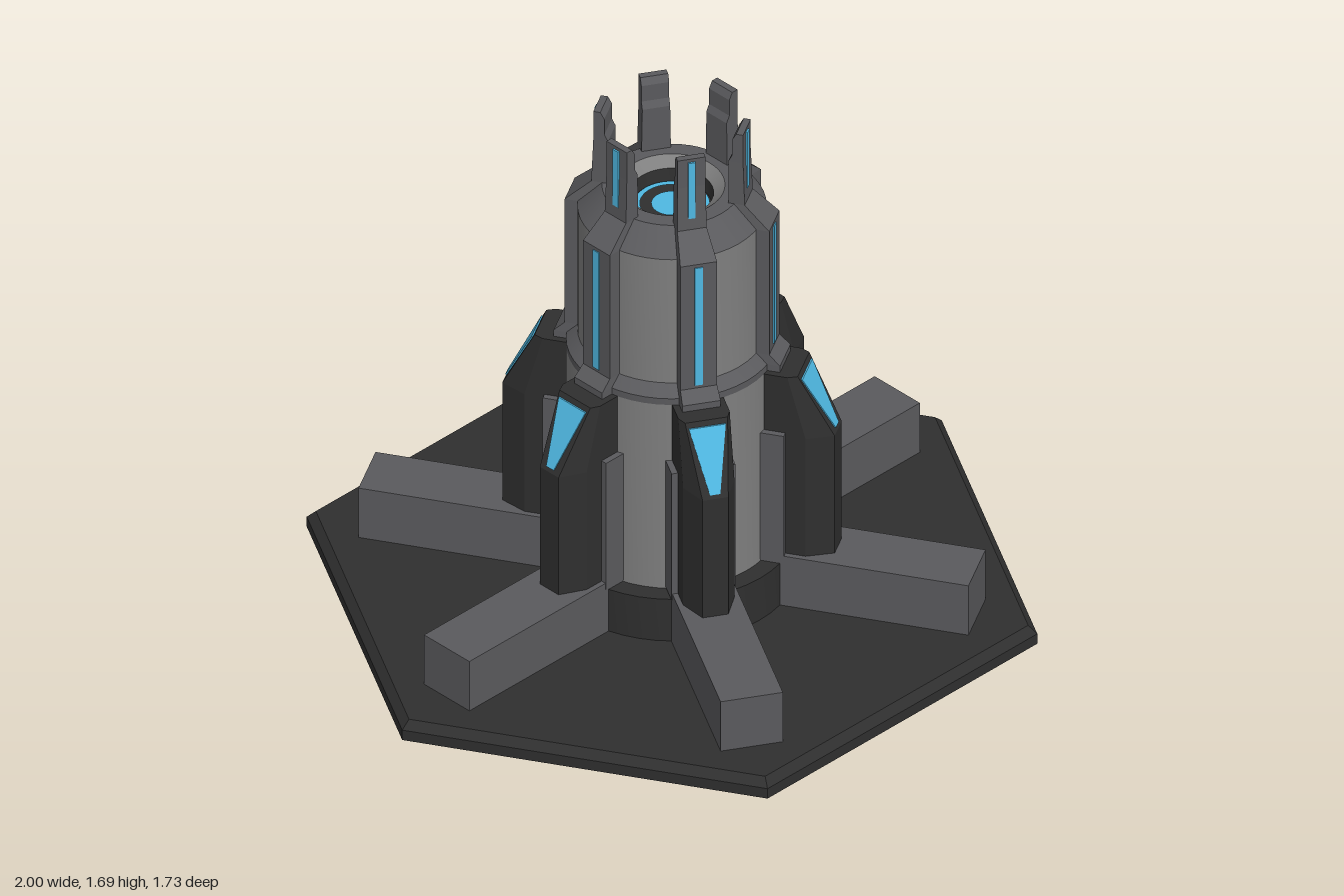
import * as THREE from 'three';
import { toCreasedNormals } from 'three/addons/utils/BufferGeometryUtils.js';

const material = (name, color) => {
  const m = new THREE.MeshStandardMaterial({ color, side: THREE.DoubleSide });
  m.name = name;
  return m;
};

// Faceted solid from stacked rings of [x, z] corners: levels = [[y, corners], ...]
function loft(levels) {
  const pos = [];
  const tri = (...pts) => pts.forEach((p) => pos.push(...p));
  const rings = levels.map(([y, pts]) => pts.map(([x, z]) => [x, y, z]));
  const n = rings[0].length;
  for (let k = 0; k < rings.length - 1; k++) {
    for (let i = 0; i < n; i++) {
      const j = (i + 1) % n;
      const a = rings[k][i], b = rings[k][j], c = rings[k + 1][j], d = rings[k + 1][i];
      tri(a, d, c);
      tri(a, c, b);
    }
  }
  const low = rings[0], top = rings[rings.length - 1];
  for (let i = 1; i < n - 1; i++) {
    tri(low[0], low[i], low[i + 1]);
    tri(top[0], top[i + 1], top[i]);
  }
  const g = new THREE.BufferGeometry();
  g.setAttribute('position', new THREE.Float32BufferAttribute(pos, 3));
  g.computeVertexNormals();
  return g;
}

const rect = (ri, ro, h) => [[ri, -h], [ro, -h], [ro, h], [ri, h]];
const finRing = (ri, rc, ro, h) =>
  [[ri, -0.07], [rc, -0.07], [ro, -h], [ro, h], [rc, 0.07], [ri, 0.07]];
const hexRing = (r) => Array.from({ length: 6 }, (_, i) =>
  [r * Math.cos(i * Math.PI / 3), r * Math.sin(i * Math.PI / 3)]);

function lathe(points) {
  const g = new THREE.LatheGeometry(points.map(([r, y]) => new THREE.Vector2(r, y)), 48);
  return toCreasedNormals(g, 0.4);
}

export function createModel() {
  const model = new THREE.Group();
  model.name = 'tower';
  const charcoal = material('charcoal', 0x2f2f2f);
  const darkGrey = material('dark grey', 0x5a5a5d);
  const midGrey = material('mid grey', 0x7f7f7f);
  const cyan = material('glow cyan', 0x4fb8e2);

  const add = (parent, name, geometry, mat) => {
    const mesh = new THREE.Mesh(geometry, mat);
    mesh.name = name;
    parent.add(mesh);
    return mesh;
  };

  // Hexagonal base plate with bevelled upper edge
  add(model, 'basePlate', loft([
    [0.165, hexRing(1)], [0.197, hexRing(1)], [0.22, hexRing(0.975)],
  ]), charcoal);

  // Round core
  add(model, 'collar', lathe([[0.33, 0.2], [0.33, 0.355], [0.27, 0.355]]), charcoal);
  add(model, 'lowerBody', lathe([[0.28, 0.3], [0.28, 0.95]]), midGrey);
  add(model, 'waistRing', lathe([[0.28, 0.95], [0.28, 0.97], [0.25, 1.0]]), darkGrey);
  add(model, 'upperBody', lathe([[0.25, 1.0], [0.25, 1.4]]), midGrey);
  add(model, 'shoulder', lathe([[0.25, 1.4], [0.185, 1.465], [0.14, 1.465]]), darkGrey);
  add(model, 'muzzleRim', lathe([[0.14, 1.465], [0.11, 1.44]]), midGrey);
  add(model, 'muzzleWell', lathe([[0.11, 1.44], [0.105, 1.4], [0.0, 1.4]]), charcoal);

  // Glowing core inside the well
  const flat = (name, geometry, y) => {
    const mesh = add(model, name, geometry, cyan);
    mesh.rotation.x = -Math.PI / 2;
    mesh.position.y = y;
  };
  flat('glowRing', new THREE.RingGeometry(0.085, 0.1, 48), 1.405);
  flat('glowCore', new THREE.CircleGeometry(0.055, 32), 1.405);

  // Shared geometry of one sixth, with local +x pointing outwards
  const spoke = loft([[0.163, rect(0.25, 0.835, 0.085)], [0.38, rect(0.25, 0.835, 0.085)]]);
  const bracket = loft([[0.36, rect(0.22, 0.33, 0.087)], [0.77, rect(0.22, 0.33, 0.087)]]);
  const fin = loft([
    [0, finRing(0.36, 0.385, 0.455, 0.035)],
    [0.165, finRing(0.29, 0.385, 0.455, 0.035)],
    [0.17, finRing(0.22, 0.385, 0.455, 0.035)],
    [0.76, finRing(0.22, 0.385, 0.455, 0.035)],
    [0.95, finRing(0.22, 0.335, 0.36, 0.058)],
  ]);
  const rib = loft([
    [0.95, rect(0.23, 0.31, 0.052)],
    [0.97, rect(0.23, 0.31, 0.052)],
    [1.0, rect(0.22, 0.28, 0.05)],
    [1.4, rect(0.2, 0.28, 0.05)],
    [1.465, rect(0.165, 0.21, 0.04)],
    [1.6, rect(0.165, 0.205, 0.038)],
    [1.62, rect(0.175, 0.205, 0.038)],
    [1.67, rect(0.175, 0.205, 0.038)],
    [1.69, rect(0.186, 0.205, 0.038)],
  ]);
  // Thin glowing wedge lying on the fin's slope
  const wedge = loft([
    [0.772, rect(0.447, 0.453, 0.014)],
    [0.936, rect(0.365, 0.371, 0.05)],
  ]);
  const ribStrip = new THREE.BoxGeometry(0.006, 0.38, 0.022);
  const prongStrip = new THREE.BoxGeometry(0.006, 0.18, 0.02);

  for (let i = 0; i < 6; i++) {
    const arm = new THREE.Group();
    arm.name = 'arm' + (i + 1);
    arm.rotation.y = i * Math.PI / 3;
    add(arm, 'spoke', spoke, darkGrey);
    add(arm, 'bracket', bracket, darkGrey);
    add(arm, 'finAndFoot', fin, charcoal);
    add(arm, 'finLight', wedge, cyan);
    add(arm, 'ribAndProng', rib, darkGrey);
    add(arm, 'ribLight', ribStrip, cyan).position.set(0.28, 1.2, 0);
    add(arm, 'prongLight', prongStrip, cyan).position.set(0.207, 1.59, 0);
    model.add(arm);
  }
  return model;
}
